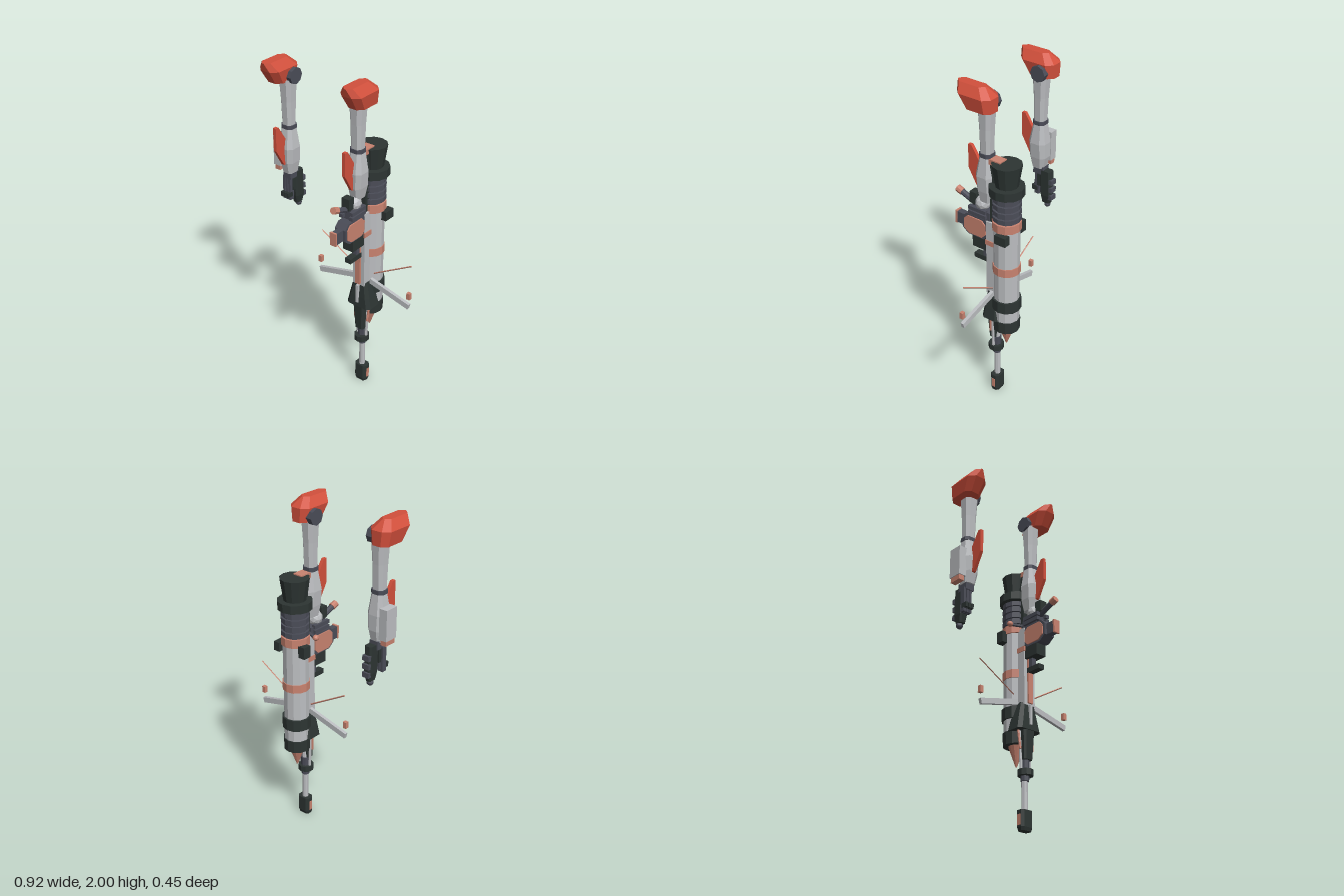
import * as THREE from 'three';

const mat = (name, color) => {
  const m = new THREE.MeshStandardMaterial({ color, flatShading: true });
  m.name = name;
  return m;
};

export function createModel() {
  const root = new THREE.Group();
  root.name = 'mechanicalArms';
  const RED = mat('armour red', 0xd2503c), COPPER = mat('copper', 0xc98370);
  const LIGHT = mat('light grey', 0xbcbec1), DARK = mat('dark green grey', 0x2d3533), SLATE = mat('slate', 0x4b4d58);

  const add = (parent, name, geo, m, x = 0, y = 0, z = 0) => {
    const mesh = new THREE.Mesh(geo, m);
    mesh.name = name;
    mesh.position.set(x, y, z);
    parent.add(mesh);
    return mesh;
  };
  // box from its limits
  const box = (p, name, m, x0, x1, y0, y1, z0, z1) =>
    add(p, name, new THREE.BoxGeometry(x1 - x0, y1 - y0, z1 - z0), m, (x0 + x1) / 2, (y0 + y1) / 2, (z0 + z1) / 2);
  // upright cylinder from its end heights
  const cyl = (p, name, m, x, z, y0, y1, r0, r1 = r0, sides = 12) =>
    add(p, name, new THREE.CylinderGeometry(r1, r0, y1 - y0, sides), m, x, (y0 + y1) / 2, z);
  // rod between two points
  const rod = (p, name, m, a, b, r, sides = 6) => {
    const A = new THREE.Vector3(...a), B = new THREE.Vector3(...b), d = B.clone().sub(A);
    const mesh = add(p, name, new THREE.CylinderGeometry(r, r, d.length(), sides), m);
    mesh.position.copy(A).add(B).multiplyScalar(0.5);
    mesh.quaternion.setFromUnitVectors(new THREE.Vector3(0, 1, 0), d.normalize());
    return mesh;
  };
  // skin over chamfered cross-sections, bottom to top: [y, half width, z0, z1, chamfer]
  const loft = (p, name, m, cx, rings) => {
    const rows = rings.map(([y, w, z0, z1, c]) =>
      [[c - w, z1], [w - c, z1], [w, z1 - c], [w, z0 + c], [w - c, z0], [c - w, z0], [-w, z0 + c], [-w, z1 - c]]
        .map(([x, z]) => [x, y, z]));
    const pos = [], tri = (...pts) => pts.forEach((q) => pos.push(...q));
    for (let i = 0; i + 1 < rows.length; i++)
      for (let j = 0; j < 8; j++) {
        const k = (j + 1) % 8, lo = rows[i], hi = rows[i + 1];
        tri(lo[j], lo[k], hi[k]);
        tri(lo[j], hi[k], hi[j]);
      }
    const bot = rows[0], top = rows[rows.length - 1];
    for (let j = 1; j < 7; j++) {
      tri(bot[0], bot[j + 1], bot[j]);
      tri(top[0], top[j], top[j + 1]);
    }
    const g = new THREE.BufferGeometry();
    g.setAttribute('position', new THREE.Float32BufferAttribute(pos, 3));
    g.computeVertexNormals();
    return add(p, name, g, m, cx);
  };
  // side profile of [z, y] points, extruded across x
  const plate = (p, name, m, x, width, pts) => {
    const g = new THREE.ExtrudeGeometry(new THREE.Shape(pts.map(([z, y]) => new THREE.Vector2(-z, y))),
      { depth: width, bevelEnabled: false });
    g.translate(0, 0, -width / 2).rotateY(Math.PI / 2);
    return add(p, name, g, m, x);
  };

  // arm hanging from the shoulder; s points away from the body
  const arm = (name, x, s) => {
    const g = new THREE.Group();
    g.name = name;
    root.add(g);
    loft(g, 'shoulderPad', RED, x + s * 0.033, [
      [1.87, 0.055, -0.07, 0.1, 0.03], [1.95, 0.067, -0.07, 0.15, 0.035], [2, 0.03, -0.015, 0.165, 0.025]]);
    const joint = cyl(g, 'shoulderJoint', SLATE, x - s * 0.035, 0, 1.885, 1.925, 0.048, 0.048, 8);
    joint.rotation.z = Math.PI / 2;
    joint.position.y = 1.9;
    loft(g, 'upperArm', LIGHT, x, [
      [1.6, 0.033, -0.025, 0.04, 0.015], [1.75, 0.037, -0.03, 0.045, 0.018], [1.88, 0.043, -0.038, 0.052, 0.02]]);
    loft(g, 'elbow', SLATE, x, [[1.585, 0.04, -0.03, 0.045, 0.018], [1.608, 0.04, -0.03, 0.045, 0.018]]);
    loft(g, 'forearm', LIGHT, x, [
      [1.31, 0.034, -0.03, 0.045, 0.015], [1.38, 0.046, -0.045, 0.06, 0.022],
      [1.47, 0.052, -0.045, 0.065, 0.024], [1.59, 0.035, -0.028, 0.042, 0.015]]);
    plate(g, 'forearmFin', RED, x, 0.02, [[0.13, 1.62], [0.108, 1.62], [0.05, 1.53], [0.05, 1.37], [0.07, 1.375], [0.13, 1.48]]);
    return g;
  };
  const free = arm('freeArm', -0.36, -1), holding = arm('weaponArm', 0.125, 1);

  // free arm: side box and hanging hand
  box(free, 'forearmBox', LIGHT, -0.45, -0.4, 1.34, 1.52, -0.04, 0.045);
  box(free, 'forearmBoxTip', COPPER, -0.445, -0.41, 1.31, 1.34, -0.035, 0.04);
  box(free, 'wrist', SLATE, -0.39, -0.335, 1.27, 1.32, -0.035, 0.035);
  loft(free, 'handGuard', DARK, -0.358, [
    [1.09, 0.018, -0.075, -0.025, 0.008], [1.14, 0.025, -0.085, -0.015, 0.01], [1.3, 0.024, -0.08, -0.01, 0.01]]);
  const tip = add(free, 'handTip', new THREE.IcosahedronGeometry(0.021, 1), SLATE, -0.36, 1.08, -0.055);
  tip.scale.z = 0.9;
  for (let i = 0; i < 3; i++) {
    box(free, 'knuckle', SLATE, -0.38, -0.336, 1.12 + i * 0.05, 1.15 + i * 0.05, -0.096, -0.07);
    box(free, 'finger', SLATE, -0.4 + i * 0.02, -0.385 + i * 0.02, 1.13, 1.28, 0.0, 0.03);
    box(free, 'fingertip', DARK, -0.4 + i * 0.02, -0.385 + i * 0.02, 1.15, 1.18, 0.01, 0.05);
  }
  box(free, 'palm', DARK, -0.39, -0.34, 1.19, 1.28, -0.02, 0.01);

  // gripping hand
  const CX = 0.125;
  add(holding, 'wristBall', new THREE.IcosahedronGeometry(0.045, 1), LIGHT, CX, 1.285, 0.04);
  for (const s of [-1, 1]) for (let i = 0; i < 2; i++)
    box(holding, 'gripFinger', SLATE, CX + s * 0.035 - 0.012, CX + s * 0.035 + 0.012, 1.21 + i * 0.03, 1.232 + i * 0.03, -0.01, 0.11);
  box(holding, 'gripPalm', SLATE, CX - 0.032, CX + 0.032, 1.19, 1.25, -0.03, 0.09);

  // launcher tube
  const tube = new THREE.Group();
  tube.name = 'launcherTube';
  root.add(tube);
  const TZ = -0.124;
  [['tubeFlare', DARK, 1.44, 1.58, 0.063, 0.085], ['tubeCollar', DARK, 1.4, 1.45, 0.1, 0.1],
    ['tubeCore', SLATE, 1.22, 1.41, 0.07, 0.07], ['upperBand', COPPER, 1.185, 1.235, 0.083, 0.083],
    ['tubeUpper', LIGHT, 0.945, 1.19, 0.075, 0.075], ['middleBand', COPPER, 0.9, 0.95, 0.08, 0.08],
    ['tubeLower', LIGHT, 0.56, 0.91, 0.074, 0.074], ['lowerCollar', DARK, 0.65, 0.72, 0.085, 0.085],
    ['tubeMouth', DARK, 0.5, 0.575, 0.077, 0.08], ['warhead', COPPER, 0.38, 0.51, 0.004, 0.05],
  ].forEach(([n, m, y0, y1, r0, r1]) => cyl(tube, n, m, CX, TZ, y0, y1, r0, r1));
  for (let i = 0; i < 4; i++) cyl(tube, 'coolingRib', SLATE, CX, TZ, 1.245 + i * 0.04, 1.272 + i * 0.04, 0.082);
  box(tube, 'sidePodLeft', DARK, 0.19, 0.23, 1.13, 1.185, -0.19, -0.118);
  box(tube, 'sidePodRight', DARK, 0.015, 0.06, 1.13, 1.2, -0.172, -0.12);

  // gun body in front of the tube
  const gun = new THREE.Group();
  gun.name = 'gun';
  root.add(gun);
  box(gun, 'rearRail', DARK, 0.098, 0.152, 1.2, 1.56, -0.08, -0.03);
  box(gun, 'rearCap', COPPER, 0.095, 0.155, 1.555, 1.587, -0.1, -0.025);
  box(gun, 'receiver', LIGHT, 0.085, 0.165, 0.72, 1.2, -0.065, -0.01);
  box(gun, 'receiverStrip', COPPER, 0.108, 0.142, 0.73, 1.08, -0.02, 0.002);
  box(gun, 'receiverBand', COPPER, 0.08, 0.17, 1.05, 1.08, -0.075, -0.005);
  box(gun, 'receiverBlock', DARK, 0.09, 0.16, 1.0, 1.1, -0.02, 0.09);
  box(gun, 'frontSight', DARK, 0.105, 0.145, 0.915, 0.945, -0.02, 0.09);
  box(gun, 'sightPost', SLATE, 0.11, 0.14, 0.945, 1.0, -0.01, 0.03);
  // magazine housing
  plate(gun, 'magazineFrame', SLATE, CX, 0.072, [[0.13, 1.2], [0.0, 1.2], [-0.02, 1.17], [-0.02, 1.1], [0.01, 1.07], [0.12, 1.07], [0.16, 1.1], [0.16, 1.17]]);
  plate(gun, 'magazinePanel', COPPER, CX, 0.086, [[0.12, 1.19], [0.02, 1.19], [-0.005, 1.165], [-0.005, 1.105], [0.02, 1.08], [0.11, 1.08], [0.145, 1.105], [0.145, 1.165]]);
  box(gun, 'magazine', SLATE, 0.106, 0.144, 1.1, 1.17, 0.14, 0.215);
  box(gun, 'magazineEnd', COPPER, 0.104, 0.146, 1.095, 1.175, 0.212, 0.224);
  // scope
  rod(gun, 'scope', SLATE, [CX, 1.25, 0.06], [CX, 1.31, 0.21], 0.017, 8);
  rod(gun, 'scopeEnd', COPPER, [CX, 1.3, 0.185], [CX, 1.313, 0.22], 0.021, 8);
  box(gun, 'scopeMount', DARK, 0.1, 0.15, 1.27, 1.34, 0.07, 0.115);
  rod(gun, 'sideKnobStem', SLATE, [0.1, 1.225, -0.04], [0.04, 1.225, -0.065], 0.01);
  add(gun, 'sideKnob', new THREE.IcosahedronGeometry(0.018, 1), COPPER, 0.025, 1.225, -0.065);

  // flared shroud and barrel
  loft(gun, 'shroud', DARK, CX, [
    [0.57, 0.084, -0.12, 0.0, 0.02], [0.64, 0.07, -0.11, -0.005, 0.02], [0.735, 0.048, -0.075, -0.015, 0.015]]);
  loft(gun, 'barrelCover', DARK, CX, [[0.4, 0.03, -0.06, -0.015, 0.01], [0.57, 0.04, -0.08, -0.005, 0.012]]);
  box(gun, 'coverStrip', LIGHT, 0.117, 0.133, 0.6, 0.72, -0.02, 0.006);
  for (const s of [-1, 1]) {
    rod(gun, 'gasTube', LIGHT, [CX + s * 0.03, 0.33, -0.05], [CX + s * 0.04, 0.6, -0.05], 0.009, 6);
    rod(gun, 'brace', COPPER, [CX + s * 0.045, 0.46, -0.04], [CX + s * 0.055, 0.6, -0.05], 0.007, 6);
  }
  cyl(gun, 'barrel', LIGHT, CX, -0.056, 0.1, 0.58, 0.018, 0.018, 8);
  cyl(gun, 'barrelRing', DARK, CX, -0.048, 0.31, 0.345, 0.046, 0.046, 10);
  cyl(gun, 'barrelSleeve', SLATE, CX, -0.053, 0.28, 0.4, 0.024, 0.028, 8);
  loft(gun, 'muzzle', DARK, CX, [[0, 0.035, -0.08, -0.033, 0.012], [0.02, 0.041, -0.086, -0.028, 0.014], [0.115, 0.041, -0.086, -0.028, 0.014]]);
  for (const s of [-1, 1])
    box(gun, 'muzzleInlay', COPPER, CX + s * 0.041 - 0.003, CX + s * 0.041 + 0.003, 0.03, 0.09, -0.068, -0.046);

  // spread side arms with loose tips and thin stays
  for (const s of [-1, 1]) {
    const a = new THREE.Vector2(0.05, 0.742), b = new THREE.Vector2(0.322, 0.675), d = b.clone().sub(a);
    const bar = add(gun, 'sideArm', new THREE.BoxGeometry(d.length(), 0.033, 0.02), LIGHT,
      CX + s * (a.x + b.x) / 2, (a.y + b.y) / 2, -0.061);
    bar.rotation.z = s * Math.atan2(d.y, d.x);
    add(gun, 'sideArmTip', new THREE.BoxGeometry(0.022, 0.04, 0.022), COPPER, CX + s * 0.32, 0.747, -0.061);
    rod(gun, 'stay', COPPER, [CX + s * 0.065, 0.79, -0.073], [CX + s * 0.32, 0.94, -0.073], 0.004, 4);
  }
  return root;
}
